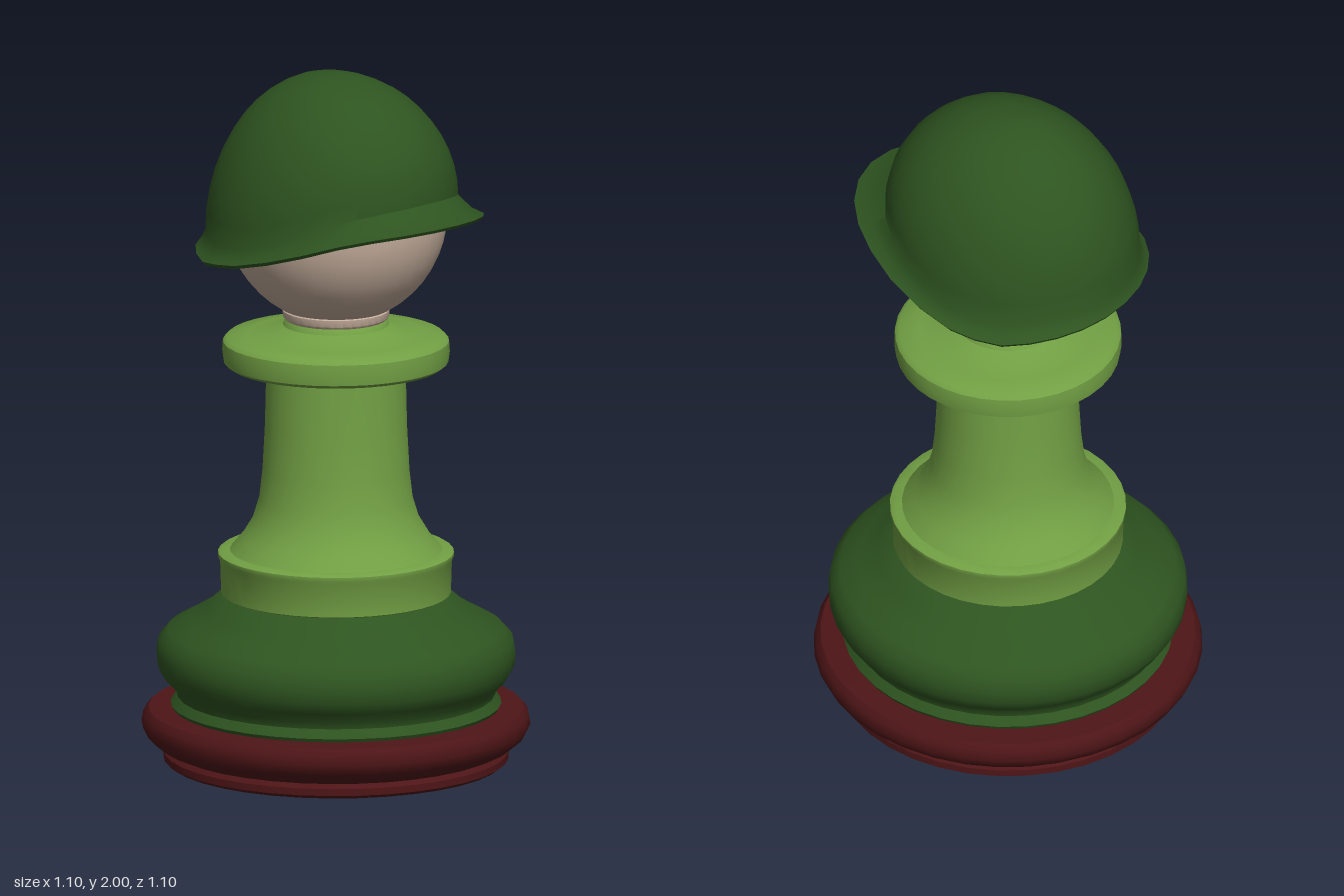
import * as THREE from 'three';
import { toCreasedNormals } from 'three/addons/utils/BufferGeometryUtils.js';

const material = (color) => new THREE.MeshStandardMaterial({ color, side: THREE.DoubleSide });
const darkGreen = material(0x2e5420);
const lightGreen = material(0x72a044);
const red = material(0x4e1517);
const skin = material(0xc4ad9b);

function addMesh(group, name, geometry, mat) {
  const mesh = new THREE.Mesh(toCreasedNormals(geometry, 0.7), mat);
  mesh.name = name;
  group.add(mesh);
}

// Turned part from a list of [radius, y], bottom to top
const turned = (profile, segments = 36) =>
  new THREE.LatheGeometry(profile.map(([r, y]) => new THREE.Vector2(r, y)), segments);

// Helmet shell: rings from crown to flared rim, then back inside
function helmetGeometry() {
  const segments = 28;
  // Rim height along z, [z, y]
  const rim = [[-0.4, 1.49], [-0.2, 1.468], [-0.02, 1.49], [0.14, 1.533], [0.31, 1.59], [0.47, 1.622]];
  const rimHeight = (z) => {
    let i = 0;
    while (i < rim.length - 2 && z > rim[i + 1][0]) i++;
    const [z0, y0] = rim[i], [z1, y1] = rim[i + 1];
    return THREE.MathUtils.lerp(y0, y1, (z - z0) / (z1 - z0));
  };
  const rimPoint = (a) => {
    const c = Math.cos(a);
    const z = -0.05 + c * (c > 0 ? 0.515 : 0.35);
    return new THREE.Vector3(0.375 * Math.sin(a), rimHeight(z), z);
  };
  const domePoint = (a, t, scale = 1) => {
    const c = Math.cos(a), s = Math.sin(t * Math.PI / 2) * scale;
    const base = rimPoint(a).y + 0.055;
    const y = base + (1.945 + 0.055 * scale - base) * Math.cos(t * Math.PI / 2);
    return new THREE.Vector3(0.342 * Math.sin(a) * s, y, -0.02 + c * (c > 0 ? 0.375 : 0.365) * s);
  };
  const rings = [];
  for (let i = 0; i <= 12; i++) rings.push((a) => domePoint(a, i / 12));
  rings.push((a) => domePoint(a, 1).lerp(rimPoint(a), 0.5).add(new THREE.Vector3(0, -0.005, 0)));
  rings.push((a) => rimPoint(a).add(new THREE.Vector3(0, 0.01, 0)));
  rings.push((a) => rimPoint(a).multiply(new THREE.Vector3(0.98, 1, 0.985)));
  rings.push((a) => domePoint(a, 1, 0.94).lerp(rimPoint(a), 0.35));
  for (let i = 8; i >= 0; i--) rings.push((a) => domePoint(a, i / 8, 0.94));

  const positions = [], index = [];
  for (const ring of rings)
    for (let j = 0; j < segments; j++) positions.push(...ring(j / segments * Math.PI * 2).toArray());
  for (let i = 0; i < rings.length - 1; i++)
    for (let j = 0; j < segments; j++) {
      const k = (j + 1) % segments;
      const a = i * segments + j, b = i * segments + k;
      index.push(a, a + segments, b, b, a + segments, b + segments);
    }
  const geometry = new THREE.BufferGeometry();
  geometry.setAttribute('position', new THREE.Float32BufferAttribute(positions, 3));
  geometry.setIndex(index);
  return geometry;
}

export function createModel() {
  const group = new THREE.Group();
  group.name = 'helmetedPawn';

  // Foot ring
  addMesh(group, 'foot', turned([
    [0, 0.005], [0.475, 0.005], [0.488, 0.015], [0.488, 0.035], [0.475, 0.047], [0.505, 0.06],
    [0.535, 0.085], [0.55, 0.115], [0.545, 0.145], [0.53, 0.162], [0.44, 0.166],
  ]), red);

  // Bulging base
  addMesh(group, 'base', turned([
    [0.46, 0.16], [0.468, 0.175], [0.45, 0.2], [0.455, 0.22], [0.485, 0.25], [0.505, 0.285],
    [0.508, 0.32], [0.502, 0.36], [0.475, 0.39], [0.42, 0.42], [0.37, 0.45], [0.325, 0.49], [0.29, 0.5],
  ]), darkGreen);

  // Collar around the bottom of the stem
  addMesh(group, 'collar', turned([
    [0.3, 0.48], [0.325, 0.495], [0.328, 0.59], [0.334, 0.6], [0.334, 0.612], [0.325, 0.618], [0.28, 0.618],
  ]), lightGreen);

  // Flared stem
  addMesh(group, 'stem', turned([
    [0.305, 0.612], [0.265, 0.66], [0.235, 0.71], [0.217, 0.77], [0.208, 0.85], [0.201, 0.98], [0.197, 1.16],
  ]), lightGreen);

  // Neck disc
  addMesh(group, 'neckDisc', turned([
    [0.19, 1.155], [0.305, 1.155], [0.318, 1.165], [0.322, 1.195], [0.32, 1.225], [0.308, 1.237],
    [0.25, 1.243], [0.19, 1.255], [0.15, 1.272], [0.142, 1.29], [0.13, 1.3],
  ]), lightGreen);

  // Head with a short neck
  addMesh(group, 'neck', turned([[0.14, 1.285], [0.15, 1.295], [0.152, 1.315], [0.13, 1.33]]), skin);
  addMesh(group, 'head', new THREE.SphereGeometry(0.315, 36, 24).translate(0, 1.595, 0), skin);

  addMesh(group, 'helmet', helmetGeometry(), darkGreen);
  return group;
}
